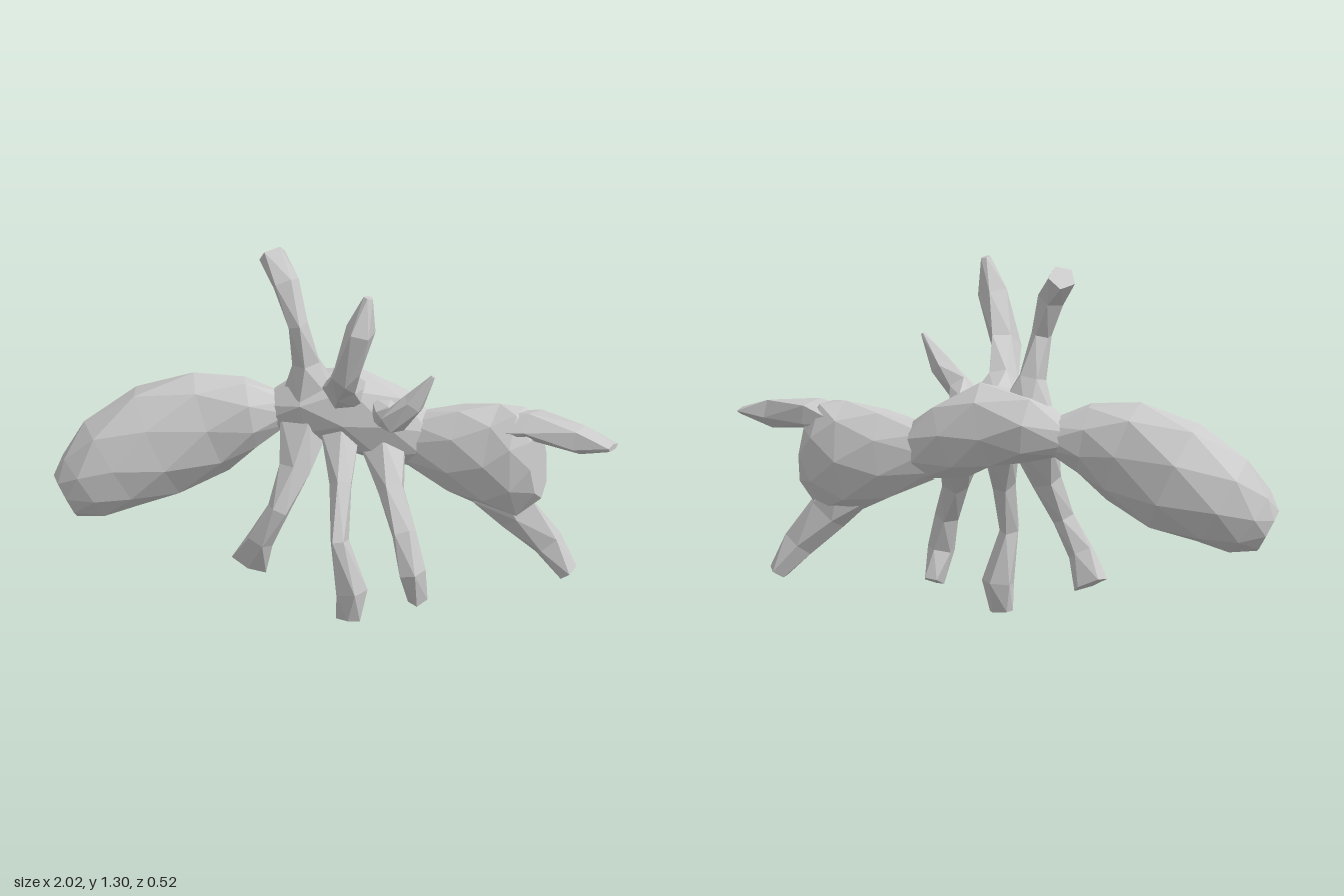
import * as THREE from 'three';

const material = new THREE.MeshStandardMaterial({ color: 0xcccccc, flatShading: true });

// Closed tube through sections [x, y, z, radius in the xy plane, radius in depth].
// Each ring is turned by `twist` of a side, which gives the faceted triangles.
function loft(name, sections, sides = 7, twist = 0.5) {
  const centers = sections.map(s => new THREE.Vector3(s[0], s[1], s[2]));
  const zAxis = new THREE.Vector3(0, 0, 1);
  const last = sections.length - 1;
  const pos = [], index = [];
  sections.forEach(([, , , ra, rb], i) => {
    const t = centers[Math.min(i + 1, last)].clone().sub(centers[Math.max(i - 1, 0)]).normalize();
    const w = zAxis.clone().cross(t).normalize();
    const d = t.clone().cross(w);
    for (let j = 0; j < sides; j++) {
      const a = ((j + twist * i) / sides) * Math.PI * 2;
      const p = centers[i].clone()
        .addScaledVector(w, Math.cos(a) * ra)
        .addScaledVector(d, Math.sin(a) * rb);
      pos.push(p.x, p.y, p.z);
    }
  });
  for (let i = 0; i < last; i++) {
    for (let j = 0; j < sides; j++) {
      const k = (j + 1) % sides, a = i * sides, b = a + sides;
      index.push(a + j, a + k, b + j, a + k, b + k, b + j);
    }
  }
  // end caps
  for (let j = 1; j < sides - 1; j++) {
    const e = last * sides;
    index.push(0, j + 1, j, e, e + j, e + j + 1);
  }
  const g = new THREE.BufferGeometry();
  g.setAttribute('position', new THREE.Float32BufferAttribute(pos, 3));
  g.setIndex(index);
  const geometry = g.toNonIndexed();
  geometry.computeVertexNormals();
  const mesh = new THREE.Mesh(geometry, material);
  mesh.name = name;
  return mesh;
}

export function createModel() {
  const model = new THREE.Group();
  model.name = 'ant';

  // body
  model.add(
    loft('abdomen', [
      [-0.21, 0.69, -0.14, 0.06, 0.06],
      [-0.33, 0.685, -0.1, 0.13, 0.1],
      [-0.47, 0.645, -0.085, 0.19, 0.12],
      [-0.66, 0.565, -0.075, 0.21, 0.165],
      [-0.82, 0.48, -0.03, 0.18, 0.155],
      [-0.91, 0.405, 0.01, 0.135, 0.12],
      [-0.972, 0.37, 0.03, 0.085, 0.07],
    ], 8),
    loft('thorax', [
      [-0.28, 0.68, -0.13, 0.06, 0.06],
      [-0.14, 0.715, -0.14, 0.125, 0.115],
      [0.02, 0.715, -0.14, 0.155, 0.12],
      [0.16, 0.655, -0.145, 0.145, 0.11],
      [0.29, 0.6, -0.15, 0.1, 0.075],
    ], 7),
    loft('head', [
      [0.23, 0.61, -0.15, 0.1, 0.065],
      [0.4, 0.59, -0.14, 0.165, 0.11],
      [0.54, 0.57, -0.13, 0.2, 0.13],
      [0.64, 0.565, -0.11, 0.205, 0.12],
      [0.705, 0.57, -0.1, 0.135, 0.085],
    ], 8),
  );

  // antennae
  model.add(
    loft('upperAntenna', [
      [0.54, 0.67, -0.13, 0.07, 0.09],
      [0.69, 0.71, -0.1, 0.055, 0.085],
      [0.87, 0.69, -0.03, 0.055, 0.055],
      [0.995, 0.685, 0.005, 0.012, 0.04],
    ], 5, 0.3),
    loft('lowerAntenna', [
      [0.54, 0.47, -0.12, 0.11, 0.07],
      [0.63, 0.365, -0.13, 0.08, 0.06],
      [0.73, 0.25, -0.15, 0.06, 0.045],
      [0.8, 0.145, -0.16, 0.035, 0.055],
    ], 5, 0.3),
  );

  // legs, each running from inside the thorax to the foot
  const legs = {
    upperRearLeg: [
      [-0.11, 0.73, -0.12, 0.125, 0.09], [-0.13, 0.89, -0.1, 0.052, 0.055],
      [-0.155, 1.04, -0.065, 0.037, 0.045], [-0.205, 1.18, -0.095, 0.05, 0.055],
      [-0.265, 1.265, -0.155, 0.05, 0.055]],
    upperMiddleLeg: [
      [0.01, 0.77, -0.12, 0.1, 0.08], [0.02, 0.85, 0.01, 0.055, 0.06],
      [0.065, 0.96, 0.155, 0.05, 0.08], [0.125, 1.13, 0.2, 0.055, 0.065],
      [0.152, 1.255, 0.19, 0.018, 0.02]],
    upperFrontLeg: [
      [0.15, 0.71, -0.13, 0.08, 0.06], [0.185, 0.745, 0.03, 0.045, 0.04],
      [0.235, 0.785, 0.16, 0.05, 0.045], [0.31, 0.86, 0.17, 0.042, 0.04],
      [0.382, 0.97, 0.175, 0.008, 0.01]],
    lowerRearLeg: [
      [-0.14, 0.67, -0.11, 0.1, 0.075], [-0.155, 0.51, -0.03, 0.06, 0.045],
      [-0.205, 0.37, 0.025, 0.042, 0.04], [-0.275, 0.25, 0.015, 0.05, 0.04],
      [-0.32, 0.145, -0.02, 0.07, 0.03]],
    lowerMiddleLeg: [
      [-0.01, 0.64, -0.1, 0.075, 0.065], [0.02, 0.48, 0.02, 0.042, 0.05],
      [0.03, 0.3, 0.11, 0.033, 0.055], [0.068, 0.11, 0.095, 0.06, 0.06],
      [0.06, 0.005, 0.1, 0.045, 0.025]],
    lowerFrontLeg: [
      [0.14, 0.6, -0.12, 0.09, 0.07], [0.2, 0.47, 0.01, 0.05, 0.045],
      [0.26, 0.34, 0.1, 0.045, 0.05], [0.295, 0.21, 0.13, 0.05, 0.055],
      [0.31, 0.1, 0.09, 0.037, 0.05]],
  };
  for (const [name, sections] of Object.entries(legs)) model.add(loft(name, sections, 5, 0.3));

  return model;
}
